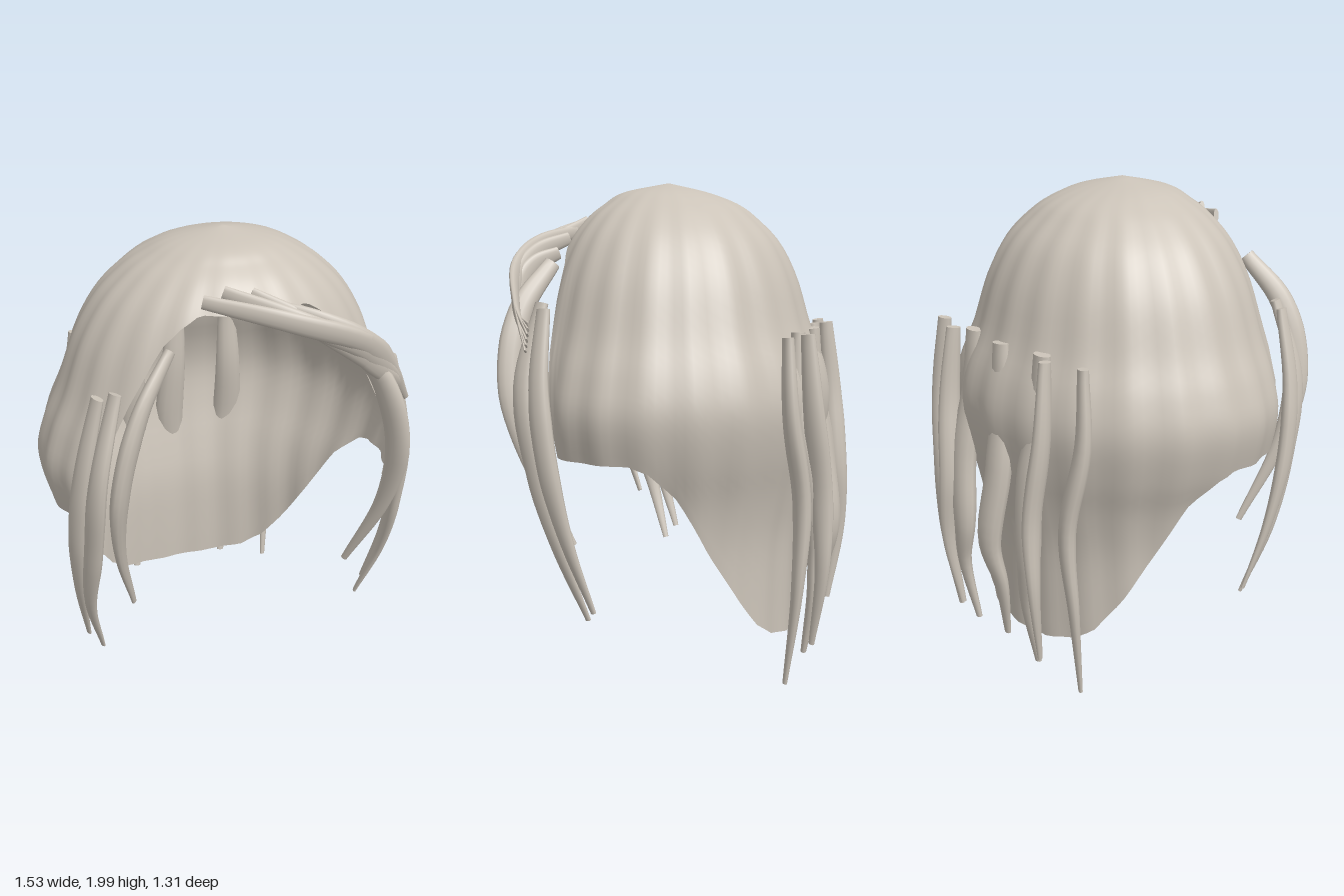
import * as THREE from 'three';

const hair = new THREE.MeshStandardMaterial({ color: 0xcbc3b8, side: THREE.DoubleSide });
hair.name = 'hair';

const v = (p) => new THREE.Vector3(p[0], p[1], p[2]);

function makeMesh(name, positions, index) {
  const g = new THREE.BufferGeometry();
  g.setAttribute('position', new THREE.Float32BufferAttribute(positions, 3));
  g.setIndex(index);
  g.computeVertexNormals();
  const m = new THREE.Mesh(g, hair);
  m.name = name;
  return m;
}

// Linear lookup in a list of [key, value, value...] rows with rising keys
function lookup(table, key) {
  let i = 1;
  while (i < table.length - 1 && table[i][0] < key) i++;
  const a = table[i - 1], b = table[i];
  const k = THREE.MathUtils.clamp((key - a[0]) / (b[0] - a[0]), 0, 1);
  return a.map((x, j) => x + (b[j] - x) * k);
}

// Cap cross-sections from crown to nape: height, half width, front depth, back depth
const SECTIONS = [
  [2.0, 0, 0, 0], [1.96, 0.2, 0.19, 0.17], [1.91, 0.31, 0.27, 0.3], [1.85, 0.4, 0.34, 0.38],
  [1.75, 0.5, 0.41, 0.475], [1.6, 0.59, 0.47, 0.55], [1.4, 0.665, 0.52, 0.61],
  [1.25, 0.73, 0.55, 0.67], [1.1, 0.765, 0.57, 0.695], [0.92, 0.73, 0.57, 0.67],
  [0.75, 0.67, 0.57, 0.63], [0.55, 0.645, 0.57, 0.59], [0.3, 0.66, 0.57, 0.58], [0.08, 0.68, 0.57, 0.58],
];
// Hem height by angle from the front, in degrees
const HEM = [
  [0, 1.77], [26, 1.775], [33, 1.73], [40, 1.66], [48, 1.45], [54, 1.2], [60, 0.925], [93, 0.925],
  [99, 0.9], [108, 0.79], [121, 0.55], [134, 0.35], [144, 0.22], [153, 0.155], [165, 0.125], [180, 0.115],
];

// Cap: rings swept down from the crown to a hem that varies with the angle
function makeCap() {
  const COLS = 120, ROWS = 40, CROWN_Z = 0.1;
  const widths = new THREE.CatmullRomCurve3(SECTIONS.map((s) => v([s[1], s[0], s[2]])), false, 'catmullrom');
  const backs = new THREE.CatmullRomCurve3(SECTIONS.map((s) => v([s[3], s[0], 0])), false, 'catmullrom');
  const pos = [0, 2, CROWN_Z], index = [];
  for (let c = 0; c < COLS; c++) {
    const deg = (c / COLS) * 360, a = THREE.MathUtils.degToRad(deg);
    const hem = lookup(HEM, deg > 180 ? 360 - deg : deg)[1];
    let lo = 0, hi = 1;
    for (let i = 0; i < 24; i++) {
      const mid = (lo + hi) / 2;
      if (widths.getPoint(mid).y > hem) lo = mid; else hi = mid;
    }
    for (let r = 1; r <= ROWS; r++) {
      const t = (lo * r) / ROWS, p = widths.getPoint(t);
      // shallow vertical locks
      const k = 1 + 0.009 * Math.cos(a * 22) * Math.min(1, t * 4);
      const depth = Math.cos(a) > 0 ? p.z : backs.getPoint(t).x;
      pos.push(p.x * k * Math.sin(a), p.y, CROWN_Z + depth * k * Math.cos(a));
    }
  }
  const id = (c, r) => (r === 0 ? 0 : 1 + (c % COLS) * ROWS + r - 1);
  for (let c = 0; c < COLS; c++) {
    for (let r = 0; r < ROWS; r++) {
      const p = id(c, r), q = id(c, r + 1), s = id(c + 1, r + 1), u = id(c + 1, r);
      index.push(p, q, s);
      if (r > 0) index.push(p, s, u);
    }
  }
  return makeMesh('cap', pos, index);
}

// Strand: tapered oval tube along a path; across is the direction of its wide side
function makeStrand(name, path, wide, thin, across) {
  const STEPS = 28, SIDES = 12;
  const curve = new THREE.CatmullRomCurve3(path.map(v));
  const taper = [[0, 0.6], [0.15, 0.8], [0.35, 1], [0.55, 0.95], [0.8, 0.55], [1, 0.25]];
  const pos = [], index = [];
  for (let i = 0; i <= STEPS; i++) {
    const t = i / STEPS, c = curve.getPoint(t), dir = curve.getTangent(t);
    const w = v(across).addScaledVector(dir, -v(across).dot(dir)).normalize();
    const n = new THREE.Vector3().crossVectors(dir, w);
    const k = lookup(taper, t)[1];
    for (let j = 0; j < SIDES; j++) {
      const a = (j / SIDES) * Math.PI * 2;
      const p = c.clone().addScaledVector(w, Math.cos(a) * wide * k).addScaledVector(n, Math.sin(a) * thin * k);
      pos.push(p.x, p.y, p.z);
    }
  }
  for (let i = 0; i < STEPS; i++) {
    for (let j = 0; j < SIDES; j++) {
      const a = i * SIDES + j, b = i * SIDES + ((j + 1) % SIDES);
      index.push(a, b, b + SIDES, a, b + SIDES, a + SIDES);
    }
  }
  // flat ends with their own corners
  for (const [ring, flip] of [[0, true], [STEPS, false]]) {
    const base = pos.length / 3;
    for (let j = 0; j < SIDES * 3; j++) pos.push(pos[ring * SIDES * 3 + j]);
    for (let j = 1; j < SIDES - 1; j++) {
      index.push(base, base + (flip ? j + 1 : j), base + (flip ? j : j + 1));
    }
  }
  return makeMesh(name, pos, index);
}

export function createModel() {
  const model = new THREE.Group();
  model.name = 'wig';
  model.add(makeCap());

  // Locks mirrored on both sides: name, path, half width, half thickness, wide direction
  const sideLocks = [
    ['templeLock', [[0.34, 1.67, 0.5], [0.48, 1.48, 0.585], [0.565, 1.2, 0.6], [0.565, 0.9, 0.53], [0.48, 0.53, 0.38]], 0.055, 0.035, [0.6, 0, 0.8]],
    ['sideLock', [[0.6, 1.5, 0.44], [0.67, 1.2, 0.44], [0.7, 0.9, 0.4], [0.69, 0.6, 0.33], [0.65, 0.31, 0.24]], 0.052, 0.03, [-0.4, 0, 1]],
    ['cheekLock', [[0.54, 1.52, 0.47], [0.63, 1.2, 0.52], [0.655, 0.85, 0.46], [0.66, 0.55, 0.37], [0.6, 0.26, 0.28]], 0.052, 0.03, [-0.4, 0, 1]],
    ['outerBackLock', [[0.48, 1.4, -0.49], [0.5, 1.1, -0.51], [0.45, 0.75, -0.55], [0.475, 0.4, -0.54], [0.455, 0.01, -0.495]], 0.052, 0.036, [1, 0, -0.5]],
    ['innerBackLock', [[0.32, 1.4, -0.545], [0.33, 1.1, -0.575], [0.3, 0.75, -0.61], [0.32, 0.45, -0.62], [0.295, 0.12, -0.58]], 0.05, 0.036, [0.4, 0, -1]],
  ];
  for (const [name, path, wide, thin, across] of sideLocks) {
    for (const s of [1, -1]) {
      const mirrored = path.map((p) => [p[0] * s, p[1], p[2]]);
      model.add(makeStrand((s > 0 ? 'left_' : 'right_') + name, mirrored, wide, thin, [across[0] * s, across[1], across[2]]));
    }
  }

  // Nape locks that pass through the cap
  for (const [x, z, end, sway] of [[-0.235, 0, 0.06, 0.02], [0, -0.03, 0.09, -0.025], [0.24, 0, 0.06, 0.025]]) {
    const path = [[x, 1.4, -0.495 + z], [x + sway * 0.5, 1.15, -0.505 + z], [x + sway, 0.87, -0.555 + z * 0.7],
      [x, 0.55, -0.585 + z], [x + sway, 0.35, -0.58], [x * 0.96, end, -0.54]];
    model.add(makeStrand('napeLock', path, 0.07, 0.048, [1, 0, 0]));
  }

  // Fringe swept across the forehead to the left temple
  const starts = [
    [-0.2, 1.825, 0.455], [-0.12, 1.85, 0.45], [-0.02, 1.84, 0.47],
    [0.04, 1.8, 0.5], [0.14, 1.77, 0.5], [0.24, 1.71, 0.51],
  ];
  starts.forEach((s, i) => {
    const drop = (i % 3) * 0.03;
    const mid = [(s[0] + 0.4) / 2, (s[1] + 1.64) / 2 + 0.025 - drop * 0.6, 0.6 - drop * 0.3];
    const path = [s, mid, [0.4, 1.645 - drop, 0.63 - drop * 0.3], [0.53, 1.5 - drop * 0.5, 0.58], [0.645 - i * 0.008, 1.34 + i * 0.02, 0.5]];
    model.add(makeStrand('fringeLock', path, 0.045, 0.018, [0.4, 1, 0.2]));
  });
  return model;
}
